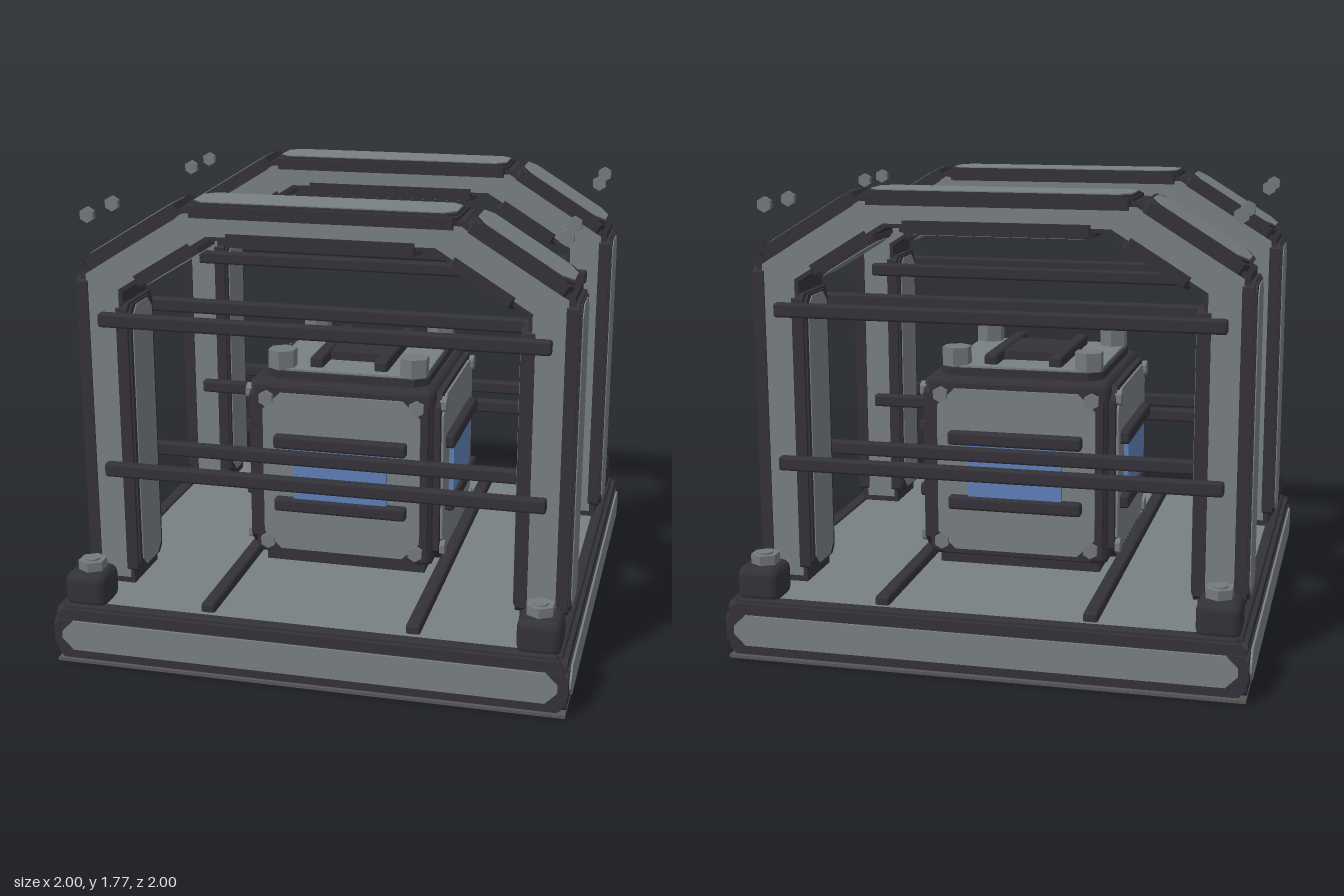
import * as THREE from 'three';
import { RoundedBoxGeometry } from 'three/addons/geometries/RoundedBoxGeometry.js';

const mat = (name, color, side = THREE.FrontSide) => {
  const m = new THREE.MeshStandardMaterial({ color, side });
  m.name = name;
  return m;
};

export function createModel() {
  const grey = mat('grey panel', 0x788082);
  const dark = mat('dark frame', 0x343239);
  const bolt = mat('bolt steel', 0x74797b);
  const blue = mat('blue window', 0x5f7fb8);
  const under = mat('underside', 0x565656);
  const model = new THREE.Group();
  model.name = 'cagedPowerUnit';

  const add = (parent, name, geo, material, x = 0, y = 0, z = 0) => {
    const m = new THREE.Mesh(geo, material);
    m.name = name;
    m.position.set(x, y, z);
    parent.add(m);
    return m;
  };
  const group = (parent, name) => {
    const g = new THREE.Group();
    g.name = name;
    parent.add(g);
    return g;
  };
  const box = (p, name, w, h, d, x, y, z, material = dark) =>
    add(p, name, new THREE.BoxGeometry(w, h, d), material, x, y, z);
  const bar = (p, name, w, h, d, x, y, z, material = dark) =>
    add(p, name, new RoundedBoxGeometry(w, h, d, 2, Math.min(w, h, d) * 0.25), material, x, y, z);

  // Chamfered plate in the local XY plane, its outer surface at z
  const plate = (p, name, w, h, t, c, material, x, y, z) => {
    const a = w / 2, b = h / 2;
    const s = new THREE.Shape([
      [a - c, -b], [a, c - b], [a, b - c], [a - c, b], [c - a, b], [-a, b - c], [-a, c - b], [c - a, -b],
    ].map(([u, v]) => new THREE.Vector2(u, v)));
    return add(p, name, new THREE.ExtrudeGeometry(s, { depth: t, bevelEnabled: false }), material, x, y, z - t);
  };
  // Hexagonal bolt head standing along local z
  const hexBolt = (p, r, h, x, y, z) => {
    const m = add(p, 'hexBolt', new THREE.CylinderGeometry(r, r, h, 6).toNonIndexed(), bolt, x, y, z + h / 2);
    m.geometry.computeVertexNormals();
    m.rotation.x = Math.PI / 2;
    return m;
  };

  // Base slab
  const base = group(model, 'base');
  box(base, 'baseCore', 1.92, 0.21, 1.92, 0, 0.115, 0);
  box(base, 'baseUnderside', 1.97, 0.012, 1.97, 0, 0.006, 0, under);
  box(base, 'deckPanel', 1.86, 0.01, 1.86, 0, 0.22, 0, grey);
  for (let i = 0; i < 4; i++) {
    const side = group(base, 'baseSide');
    side.rotation.y = i * Math.PI / 2;
    plate(side, 'baseSidePlate', 1.95, 0.2, 0.04, 0.02, dark, 0, 0.12, 0.985);
    plate(side, 'baseSideRim', 1.975, 0.12, 0.03, 0.02, dark, 0, 0.12, 0.992);
    plate(side, 'baseSidePanel', 1.91, 0.12, 0.008, 0.045, grey, 0, 0.12, 1.0);
    bar(side, 'deckRail', 1.9, 0.04, 0.045, 0, 0.215, 0.945);
  }
  for (const x of [-1, 1]) {
    bar(base, 'floorRail', 0.055, 0.05, 1.78, x * 0.4, 0.235, 0);
    for (const z of [-1, 1]) {
      bar(base, 'cornerBlock', 0.165, 0.14, 0.165, x * 0.875, 0.285, z * 0.875);
      const washer = group(base, 'cornerBolt');
      washer.rotation.x = -Math.PI / 2;
      washer.position.set(x * 0.87, 0.35, z * 0.87);
      hexBolt(washer, 0.055, 0.042, 0, 0, 0);
      add(washer, 'boltCap', new THREE.CylinderGeometry(0.03, 0.03, 0.01, 12), bolt, 0, 0, 0.043).rotation.x = Math.PI / 2;
    }
  }

  // Arch outline: outer then inner points of the +x half, mirrored
  const archGeo = (outer, inner, depth) => {
    const flip = a => a.map(([x, y]) => [-x, y]).reverse();
    const pts = [...outer, ...flip(outer), ...flip(inner).reverse(), ...[...inner].reverse()];
    const s = new THREE.Shape(pts.map(([x, y]) => new THREE.Vector2(x, y)));
    return new THREE.ExtrudeGeometry(s, { depth, bevelEnabled: false }).translate(0, 0, -depth / 2);
  };
  const coreGeo = archGeo([[0.935, 0.22], [0.935, 1.495], [0.53, 1.745]], [[0.77, 0.22], [0.77, 1.415], [0.42, 1.63]], 0.244);
  const faceGeo = archGeo([[0.912, 0.25], [0.912, 1.48], [0.52, 1.727]], [[0.785, 0.25], [0.785, 1.425], [0.43, 1.645]], 0.254);
  // Dark plate with grey panel lying on the arch, surface at (x, y), facing (nx, ny)
  const archPlate = (p, x, y, nx, ny, len) => {
    const g = group(p, 'archPlate');
    const l = Math.hypot(nx, ny);
    nx /= l; ny /= l;
    g.applyMatrix4(new THREE.Matrix4().makeBasis(
      new THREE.Vector3(-ny, nx, 0), new THREE.Vector3(0, 0, 1), new THREE.Vector3(nx, ny, 0)).setPosition(x, y, 0));
    plate(g, 'platRim', len, 0.264, 0.045, 0.02, dark, 0, 0, -0.012);
    plate(g, 'plateTop', len - 0.015, 0.235, 0.03, 0.03, dark, 0, 0, -0.004);
    plate(g, 'platePanel', len - 0.03, 0.195, 0.008, 0.04, grey, 0, 0, 0);
  };

  // Two arches with cross bars
  for (const z of [-0.575, 0.575]) {
    const arch = group(model, 'arch');
    arch.position.z = z;
    add(arch, 'archCore', coreGeo, dark);
    add(arch, 'archFace', faceGeo, grey);
    archPlate(arch, 0, 1.77, 0, 1, 1.02);
    archPlate(arch, 0, 1.602, 0, -1, 0.74);
    for (const s of [-1, 1]) {
      archPlate(arch, s * 0.962, 0.87, s, 0, 1.2);
      archPlate(arch, s * 0.74, 0.82, -s, 0, 1.1);
      archPlate(arch, s * 0.748, 1.65, s * 0.525, 0.851, 0.44);
      archPlate(arch, s * 0.582, 1.5, -s * 0.525, -0.851, 0.29);
      for (const side of [-1, 1]) {
        hexBolt(arch, 0.03, 0.024, s * 0.895, 1.705, side * 0.12 - 0.012);
      }
    }
    for (const y of [0.71, 1.31])
      for (const side of [-1, 1]) bar(arch, 'crossBar', 1.72, 0.055, 0.045, 0, y, side * 0.143);
  }

  // Central unit with four matching sides
  const unit = group(model, 'powerUnit');
  bar(unit, 'unitCore', 0.74, 0.74, 0.74, 0, 0.635, 0).geometry = new RoundedBoxGeometry(0.74, 0.74, 0.74, 1, 0.03);
  box(unit, 'unitFoot', 0.66, 0.08, 0.66, 0, 0.25, 0);
  for (let i = 0; i < 4; i++) {
    const side = group(unit, 'unitSide');
    side.rotation.y = i * Math.PI / 2;
    plate(side, 'sidePlate', 0.7, 0.7, 0.04, 0.05, dark, 0, 0.635, 0.39);
    plate(side, 'sidePanel', 0.64, 0.66, 0.009, 0.07, grey, 0, 0.635, 0.399);
    plate(side, 'windowPanel', 0.38, 0.24, 0.025, 0.001, blue, 0, 0.64, 0.418);
    for (const y of [0.505, 0.77]) bar(side, 'sideHandle', 0.54, 0.055, 0.05, 0, y, 0.41);
    for (const x of [-0.305, 0.305])
      for (const y of [0.335, 0.94]) hexBolt(side, 0.032, 0.025, x, y, 0.385);
  }

  // Unit lid, local z pointing up
  const lid = group(unit, 'unitLid');
  lid.rotation.x = -Math.PI / 2;
  plate(lid, 'lidPlate', 0.66, 0.66, 0.05, 0.05, dark, 0, 0, 1.035);
  plate(lid, 'lidPanel', 0.63, 0.63, 0.008, 0.07, grey, 0, 0, 1.043);
  plate(lid, 'lidHatch', 0.31, 0.3, 0.05, 0.01, dark, 0, 0.005, 1.078);
  for (const x of [-1, 1]) {
    bar(lid, 'lidHandle', 0.055, 0.54, 0.05, x * 0.132, 0, 1.06);
    for (const y of [-1, 1]) hexBolt(lid, 0.06, 0.075, x * 0.27, y * 0.27, 1.038);
  }
  return model;
}
